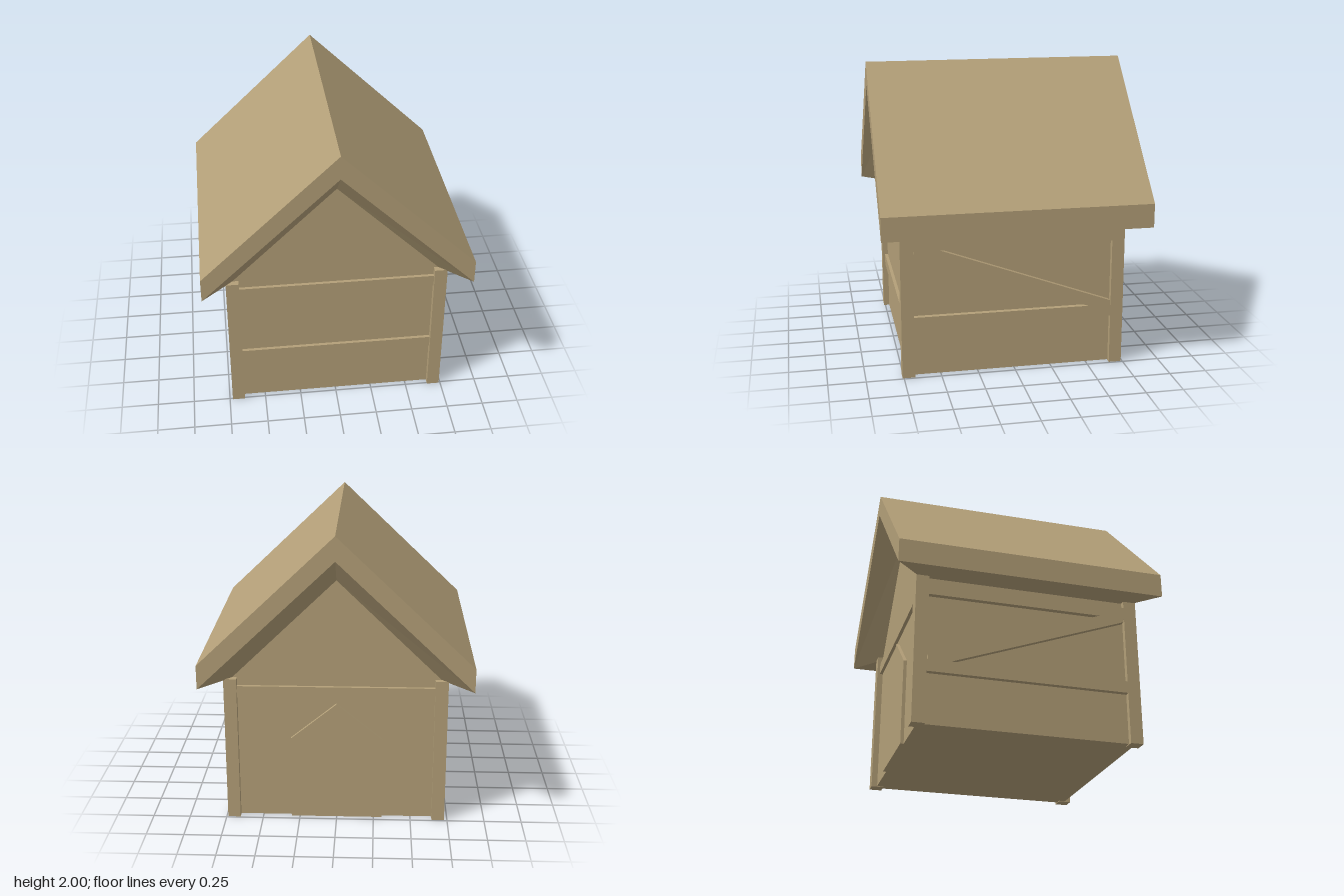
import * as THREE from 'three';

const CX = 0.005, CZ = 0.01;           // centre of the timber frame
const BX = 0.70, BZ = 0.71;            // half size of the walls
const PX = 0.735, PZ = 0.75, POST = 0.085; // half size of the frame, post width

export function createModel() {
  const group = new THREE.Group();
  const wood = new THREE.MeshStandardMaterial({ color: 0xb39f78, flatShading: true });

  const add = (name, geometry) => {
    const mesh = new THREE.Mesh(geometry, wood);
    mesh.name = name;
    group.add(mesh);
    return mesh;
  };
  const box = (name, x0, x1, y0, y1, z0, z1) => add(name,
    new THREE.BoxGeometry(x1 - x0, y1 - y0, z1 - z0)
      .translate((x0 + x1) / 2, (y0 + y1) / 2, (z0 + z1) / 2));
  const slab = (points, depth) => new THREE.ExtrudeGeometry(
    new THREE.Shape(points.map(p => new THREE.Vector2(...p))), { depth, bevelEnabled: false });

  // walls with gables
  add('walls', slab([[CX - BX, 0.005], [CX + BX, 0.005], [CX + BX, 1], [0, 1.67], [CX - BX, 1]], 2 * BZ)
    .translate(0, 0, CZ - BZ));

  // corner posts
  for (const sx of [-1, 1]) for (const sz of [-1, 1]) {
    const x = CX + sx * (PX - POST / 2), z = CZ + sz * (PZ - POST / 2), h = POST / 2;
    box('cornerPost', x - h, x + h, 0, 1.005, z - h, z + h);
  }

  // front and back rails, set back from the posts
  const ix = PX - POST, iz = PZ - POST;
  const rails = [[0.34, 0.42], [0.87, 0.95]];
  for (const [y0, y1] of rails)
    box('frontRail', CX - ix, CX + ix, y0, y1, CZ + BZ - 0.02, CZ + BZ + 0.022);
  box('backRail', CX - ix, CX + ix, 0.87, 0.95, CZ - BZ - 0.022, CZ - BZ + 0.02);

  // side rails and diagonal braces, flush with the posts
  for (const s of [-1, 1]) {
    const a = CX + s * PX, b = CX + s * (BX - 0.02);
    const x0 = Math.min(a, b), x1 = Math.max(a, b);
    for (const [y0, y1] of rails) box('sideRail', x0, x1, y0, y1, CZ - iz, CZ + iz);
    // shape drawn in (-z, y), turned to face sideways
    add('sideBrace', slab([[-0.67, 0.845], [0.5, 0.42], [0.65, 0.42], [0.65, 0.45], [-0.5, 0.87], [-0.67, 0.87]], x1 - x0)
      .rotateY(Math.PI / 2).translate(x0, 0, 0));
  }

  // pointed door on the back
  add('door', slab([[-0.305, 0.005], [0.305, 0.005], [0.305, 0.58], [0, 0.83], [-0.305, 0.58]], 0.05)
    .translate(0, 0, CZ - BZ - 0.022));

  add('roof', roofGeometry());
  return group;
}

// Thick gabled roof: one quarter as quads, mirrored in x and z
function roofGeometry() {
  const E = 0.888, W = 0.69, position = [];
  for (const sx of [-1, 1]) for (const sz of [-1, 1]) {
    const wz = sz * CZ + BZ;
    const quads = [
      [[0, 2, E], [E, 1.15, E], [E, 1.15, 0], [0, 2, 0]],             // slope
      [[E, 1.15, E], [E, 0.99, E], [E, 0.99, 0], [E, 1.15, 0]],       // eave edge
      [[0, 1.84, E], [E, 0.99, E], [E, 1.15, E], [0, 2, E]],          // gable edge
      [[0, 1.67, wz], [W, 1, wz], [E, 0.99, E], [0, 1.84, E]],        // gable soffit
      [[W, 1, 0], [E, 0.99, 0], [E, 0.99, E], [W, 1, wz]],            // eave soffit
    ];
    for (const q of quads) {
      const order = sx * sz > 0 ? [0, 1, 2, 0, 2, 3] : [0, 2, 1, 0, 3, 2];
      for (const i of order) position.push(q[i][0] * sx, q[i][1], q[i][2] * sz);
    }
  }
  const geometry = new THREE.BufferGeometry();
  geometry.setAttribute('position', new THREE.Float32BufferAttribute(position, 3));
  geometry.computeVertexNormals();
  return geometry;
}
